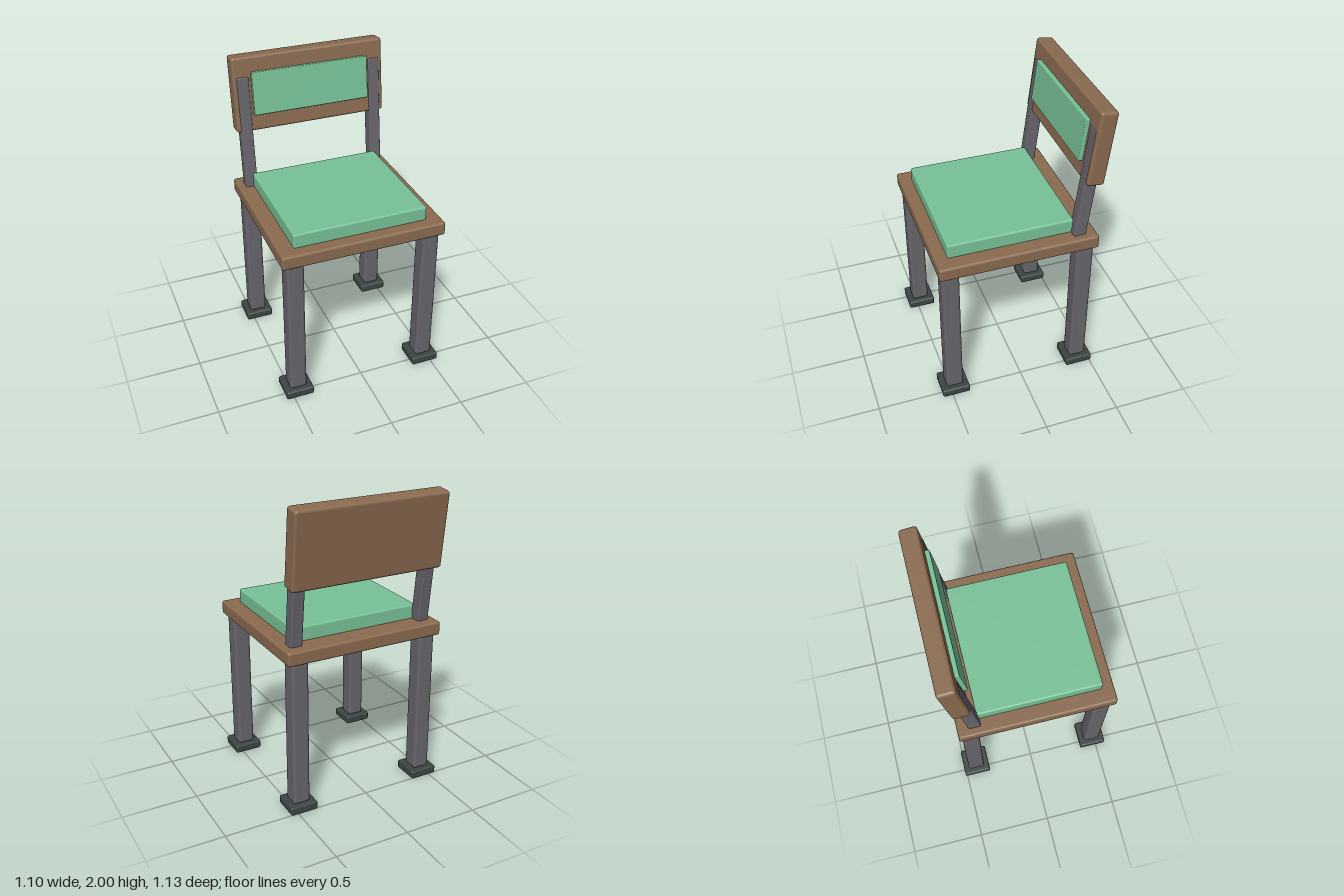
import * as THREE from 'three';
import { RoundedBoxGeometry } from 'three/addons/geometries/RoundedBoxGeometry.js';

const material = (name, color) => {
  const m = new THREE.MeshStandardMaterial({ color });
  m.name = name;
  return m;
};

export function createModel() {
  const wood = material('brown wood', 0x8b6b50);
  const metal = material('grey metal', 0x67656b);
  const rubber = material('dark rubber', 0x3a4543);
  const fabric = material('green fabric', 0x78c297);

  const chair = new THREE.Group();
  chair.name = 'chair';

  // Box with narrow bevelled edges
  const block = (parent, name, mat, size, pos, bevel = 0.015) => {
    const mesh = new THREE.Mesh(new RoundedBoxGeometry(...size, 2, bevel), mat);
    mesh.name = name;
    mesh.position.set(...pos);
    parent.add(mesh);
    return mesh;
  };

  // Seat and cushion
  block(chair, 'seat', wood, [1.09, 0.092, 1.045], [0, 1.074, 0.0275]);
  block(chair, 'seatCushion', fabric, [0.89, 0.1, 0.825], [0, 1.163, 0.0575], 0.012);

  // Legs and feet
  for (const [side, x] of [['left', 0.457], ['right', -0.457]]) {
    for (const [end, z] of [['Front', 0.473], ['Back', -0.418]]) {
      block(chair, `${side}${end}Leg`, metal, [0.115, 0.98, 0.115], [x, 0.54, z], 0.02);
      block(chair, `${side}${end}Foot`, rubber, [0.187, 0.057, 0.187], [x, 0.0285, z], 0.012);
    }
  }

  // Leaning back: local origin is the centre of the wooden panel
  const back = new THREE.Group();
  back.name = 'backrest';
  back.position.set(0, 1.745, -0.477);
  back.rotation.x = -0.118;
  chair.add(back);
  block(back, 'backPanel', wood, [1.04, 0.5, 0.114], [0, 0, 0], 0.018);
  block(back, 'backPad', fabric, [0.8, 0.286, 0.055], [0, 0.004, 0.0575], 0.006);
  for (const [side, x] of [['left', 0.455], ['right', -0.455]]) {
    block(back, `${side}BackPost`, metal, [0.08, 0.78, 0.082], [x, -0.27, 0.021], 0.01);
  }

  return chair;
}
